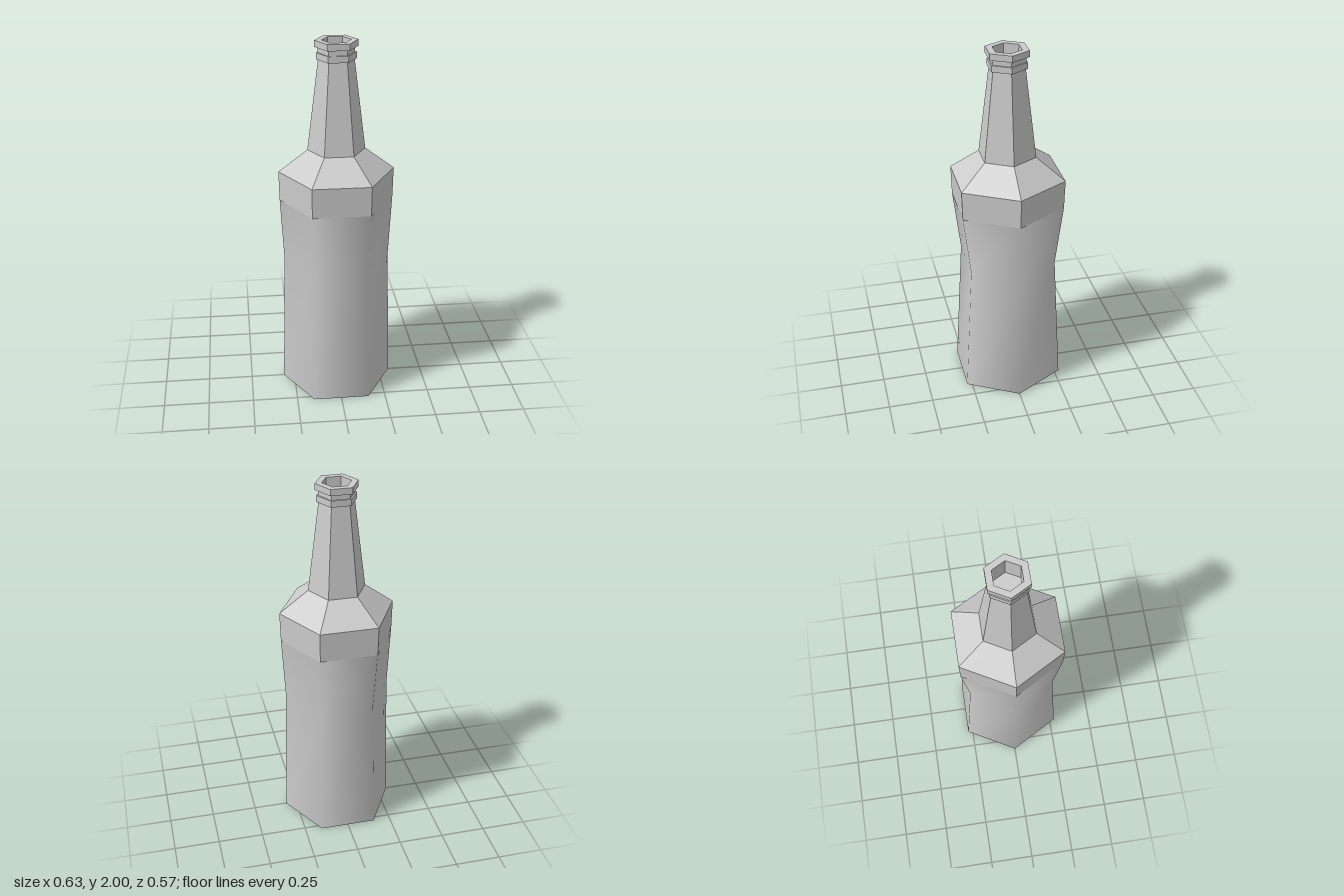
import * as THREE from 'three';

const SIDES = 6;

// Stack of hexagonal rings [y, corner half-width in x, flat half-depth in z], from outside bottom upwards.
function hexLoft(name, rings, { smooth = false, capStart = false, capEnd = false } = {}) {
  const positions = [];
  const index = [];
  for (const [y, rx, rz] of rings) {
    for (let i = 0; i < SIDES; i++) {
      const a = (i / SIDES) * Math.PI * 2;
      positions.push(rx * Math.cos(a), y, -rz * Math.sin(a) / Math.sin(Math.PI / 3));
    }
  }
  for (let r = 0; r < rings.length - 1; r++) {
    for (let i = 0; i < SIDES; i++) {
      const a = r * SIDES + i;
      const b = r * SIDES + (i + 1) % SIDES;
      index.push(a, b, b + SIDES, a, b + SIDES, a + SIDES);
    }
  }
  const last = (rings.length - 1) * SIDES;
  for (let i = 1; i < SIDES - 1; i++) {
    if (capStart) index.push(0, i + 1, i);
    if (capEnd) index.push(last, last + i, last + i + 1);
  }
  let geometry = new THREE.BufferGeometry();
  geometry.setAttribute('position', new THREE.Float32BufferAttribute(positions, 3));
  geometry.setIndex(index);
  if (!smooth) geometry = geometry.toNonIndexed();
  geometry.computeVertexNormals();
  const mesh = new THREE.Mesh(
    geometry,
    new THREE.MeshStandardMaterial({ color: 0xcccccc, flatShading: !smooth })
  );
  mesh.name = name;
  return mesh;
}

export function createModel() {
  const bottle = new THREE.Group();
  bottle.name = 'bottle';

  // Base plate closing the underside
  bottle.add(hexLoft('base', [[0, 0.311, 0.278]], { capStart: true }));

  // Smooth-shaded waisted body
  bottle.add(hexLoft('body', [
    [0, 0.311, 0.278],
    [0.77, 0.293, 0.238],
    [1.12, 0.312, 0.279],
  ], { smooth: true }));

  // Faceted band and sloping shoulder
  bottle.add(hexLoft('shoulder', [
    [1.12, 0.312, 0.279],
    [1.285, 0.316, 0.283],
    [1.405, 0.157, 0.14],
  ]));

  // Tapered neck
  bottle.add(hexLoft('neck', [
    [1.405, 0.157, 0.14],
    [1.9, 0.096, 0.086],
  ]));

  // Collar ring, groove, lip and hollow mouth
  bottle.add(hexLoft('mouth', [
    [1.9, 0.096, 0.086],
    [1.9, 0.107, 0.095],
    [1.935, 0.107, 0.095],
    [1.935, 0.098, 0.088],
    [1.965, 0.098, 0.088],
    [1.965, 0.115, 0.104],
    [2, 0.115, 0.104],
    [2, 0.078, 0.07],
    [1.87, 0.078, 0.07],
  ], { capEnd: true }));

  return bottle;
}
